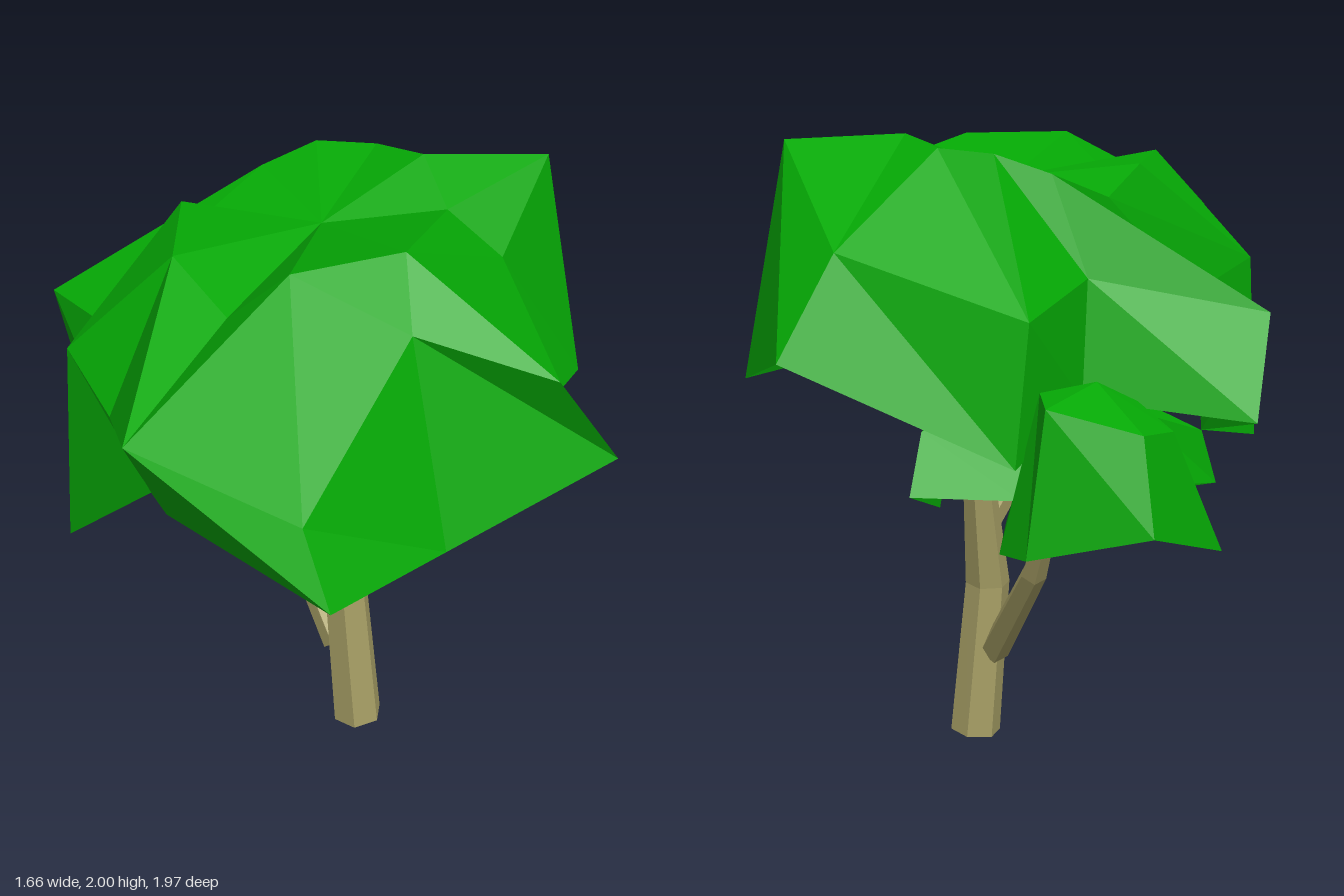
import * as THREE from 'three';

const leaf = new THREE.MeshStandardMaterial({ color: 0x05a805, flatShading: true, side: THREE.DoubleSide });
const bark = new THREE.MeshStandardMaterial({ color: 0xa8a066, flatShading: true, side: THREE.DoubleSide });

function meshOf(name, tris, material) {
  const geo = new THREE.BufferGeometry();
  geo.setAttribute('position', new THREE.Float32BufferAttribute(tris.flat(), 3));
  geo.computeVertexNormals();
  const mesh = new THREE.Mesh(geo, material);
  mesh.name = name;
  return mesh;
}

// Join successive rings of equal length, skipping triangles where points coincide
function loft(rings) {
  const tris = [];
  const add = (...t) => {
    if (new Set(t.map(String)).size === 3) tris.push(...t);
  };
  for (let r = 0; r < rings.length - 1; r++) {
    const a = rings[r], b = rings[r + 1], n = a.length;
    for (let i = 0; i < n; i++) {
      const j = (i + 1) % n;
      add(a[i], b[i], b[j]);
      add(a[i], b[j], a[j]);
    }
  }
  return tris;
}

// Open leafy shell: a peak, then spokes running outward and down to the rim
function canopy(name, peak, spokes) {
  const rings = [spokes.map(() => peak)];
  for (let k = 0; k < spokes[0].length; k++) rings.push(spokes.map(s => s[k]));
  return meshOf(name, loft(rings), leaf);
}

// Tapering faceted limb through nodes [x, y, z, radius]
function limb(name, nodes, sides) {
  const pts = nodes.map(n => new THREE.Vector3(n[0], n[1], n[2]));
  const rings = nodes.map((n, k) => {
    const dir = pts[Math.min(k + 1, pts.length - 1)].clone().sub(pts[Math.max(k - 1, 0)]).normalize();
    const u = new THREE.Vector3(0, 0, 1).addScaledVector(dir, -dir.z).normalize();
    const v = new THREE.Vector3().crossVectors(dir, u);
    return Array.from({ length: sides }, (_, i) => {
      const a = -(i + 0.5) / sides * Math.PI * 2;
      return pts[k].clone().addScaledVector(u, Math.cos(a) * n[3])
        .addScaledVector(v, Math.sin(a) * n[3]).toArray();
    });
  });
  // closed ends
  const ends = [pts[0], pts[pts.length - 1]].map(p => Array(sides).fill(p.toArray()));
  return meshOf(name, loft([ends[0], ...rings, ends[1]]), bark);
}

export function createModel() {
  const tree = new THREE.Group();
  tree.name = 'tree';

  // Trunk and branches
  tree.add(limb('trunk', [
    [0.105, 0.01, 0.145, 0.083], [0.065, 0.53, 0.13, 0.073], [0.1, 0.86, 0.07, 0.054],
    [0.05, 1.22, 0.09, 0.038], [0.09, 1.48, 0.15, 0.022], [0.09, 1.82, 0.13, 0.01]], 6));
  tree.add(limb('frontBranch', [
    [0.08, 0.72, 0.12, 0.045], [-0.17, 1.06, 0.26, 0.04], [-0.25, 1.22, 0.32, 0.033],
    [-0.28, 1.42, 0.38, 0.012]], 5));
  tree.add(limb('backBranch', [
    [0.05, 0.3, 0.1, 0.05], [-0.02, 0.65, -0.2, 0.042], [-0.05, 0.97, -0.38, 0.025],
    [-0.08, 1.12, -0.5, 0.012]], 5));

  // Main crown: each spoke is crest, shoulder, rim
  tree.add(canopy('mainCanopy', [-0.01, 1.86, 0.09], [
    [[0.06, 1.96, 0.52], [0.02, 1.78, 0.66], [0.06, 1.17, 0.84]],
    [[0.06, 1.96, 0.52], [0.36, 1.68, 0.88], [0.56, 1.39, 0.89]],
    [[0.32, 1.91, 0.24], [0.47, 1.76, 0.31], [0.59, 1.24, 0.39]],
    [[0.33, 2.0, 0.05], [0.69, 1.98, 0.15], [0.83, 1.23, 0.19]],
    [[0.26, 1.97, -0.13], [0.6, 1.7, -0.37], [0.78, 1.4, -0.46]],
    [[0.11, 1.96, -0.24], [0.09, 1.53, -0.66], [0.14, 1.12, -0.71]],
    [[-0.06, 1.9, -0.26], [-0.15, 1.6, -0.35], [-0.12, 1.25, -0.42]],
    [[-0.06, 1.9, -0.26], [-0.68, 1.5, -0.46], [-0.6, 1.2, -0.61]],
    [[-0.25, 1.82, -0.19], [-0.56, 1.5, -0.07], [-0.59, 1.06, -0.08]],
    [[-0.37, 1.91, -0.1], [-0.78, 1.59, 0.05], [-0.83, 0.99, 0.11]],
    [[-0.51, 1.92, 0.23], [-0.78, 1.59, 0.05], [-0.83, 0.99, 0.11]],
    [[-0.51, 1.92, 0.23], [-0.74, 1.5, 0.31], [-0.7, 1.38, 0.54]],
    [[-0.42, 1.8, 0.41], [-0.83, 1.68, 0.74], [-0.69, 1.37, 0.64]],
    [[-0.28, 1.96, 0.52], [-0.83, 1.68, 0.74], [-0.69, 1.37, 0.64]],
    [[-0.28, 1.96, 0.52], [-0.39, 1.4, 0.88], [-0.35, 1.17, 0.98]],
  ]));

  // Low clump hanging under the crown: crest, rim
  tree.add(canopy('lowerCanopy', [-0.03, 1.37, -0.3], [
    [[-0.28, 1.17, -0.1], [-0.28, 0.84, -0.04]],
    [[0, 1.36, -0.17], [0, 1.08, -0.08]],
    [[0.2, 1.25, -0.16], [0.27, 0.95, -0.08]],
    [[0.29, 1.22, -0.36], [0.3, 0.93, -0.37]],
    [[0.37, 1.19, -0.48], [0.42, 1.02, -0.57]],
    [[0.05, 1.35, -0.42], [0.1, 1.0, -0.6]],
    [[-0.3, 1.2, -0.4], [-0.3, 1.0, -0.5]],
    [[-0.54, 1.1, -0.25], [-0.59, 0.93, -0.25]],
  ]));

  // Small clump at the end of the back branch: crest, rim
  tree.add(canopy('backCanopy', [-0.1, 1.36, -0.68], [
    [[-0.18, 1.25, -0.9], [-0.19, 0.98, -0.99]],
    [[-0.31, 1.22, -0.74], [-0.47, 0.85, -0.71]],
    [[-0.23, 1.29, -0.64], [-0.38, 1.05, -0.53]],
    [[-0.12, 1.3, -0.55], [-0.12, 1.16, -0.43]],
    [[0.02, 1.3, -0.52], [0.12, 0.9, -0.47]],
    [[0.06, 1.33, -0.66], [0.18, 0.87, -0.68]],
    [[0.08, 1.32, -0.83], [0.14, 0.9, -0.86]],
  ]));

  return tree;
}
